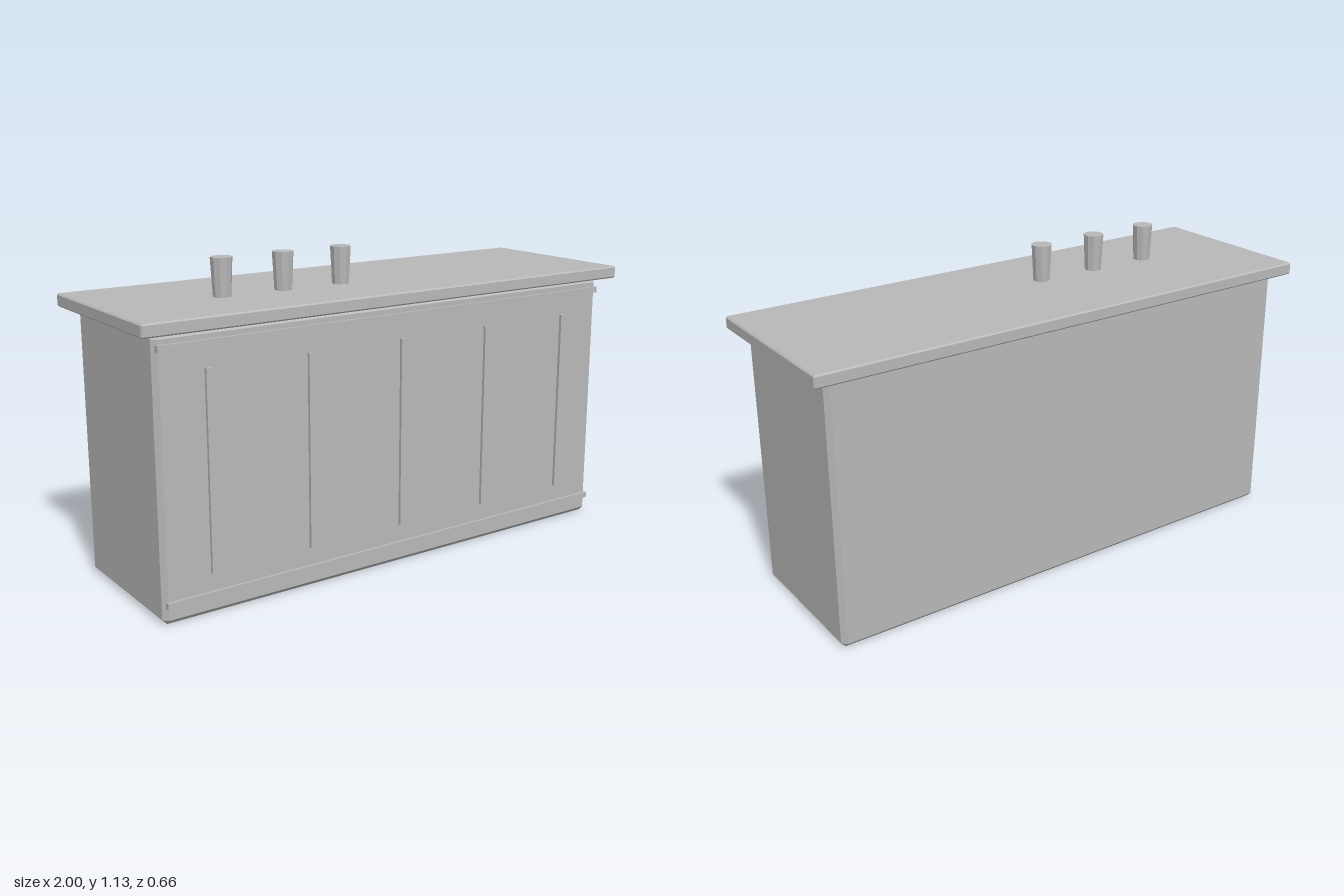
import * as THREE from 'three';
import { ConvexGeometry } from 'three/addons/geometries/ConvexGeometry.js';

// Box with one flat chamfer of size c on every edge
function chamferBox(w, h, d, c) {
  const points = [];
  for (const sx of [-1, 1]) for (const sy of [-1, 1]) for (const sz of [-1, 1]) {
    const x = sx * w / 2, y = sy * h / 2, z = sz * d / 2;
    points.push(
      new THREE.Vector3(x, y - sy * c, z - sz * c),
      new THREE.Vector3(x - sx * c, y, z - sz * c),
      new THREE.Vector3(x - sx * c, y - sy * c, z));
  }
  return new ConvexGeometry(points);
}

export function createModel() {
  const group = new THREE.Group();
  const grey = new THREE.MeshStandardMaterial({ color: 0xb8b8b8, flatShading: true });
  grey.name = 'plain grey';

  const add = (name, geometry, x, y, z) => {
    const mesh = new THREE.Mesh(geometry, grey);
    mesh.name = name;
    mesh.position.set(x, y, z);
    group.add(mesh);
  };

  // Counter body and overhanging top
  add('body', chamferBox(1.89, 0.955, 0.57, 0.017), 0, 0.4775, 0);
  add('counterTop', chamferBox(2, 0.045, 0.66, 0.005), 0, 0.9775, 0);

  // Horizontal trim along the front
  for (const y of [0.07, 0.91]) {
    add('frontRail', new THREE.BoxGeometry(1.87, 0.022, 0.02), 0, y, 0.286);
  }

  // Vertical panel strips on the front
  for (let i = -2; i <= 2; i++) {
    add('panelStrip', new THREE.BoxGeometry(0.02, 0.685, 0.02), i * 0.381, 0.4875, 0.286);
  }

  // Flared tumblers on the top
  for (const x of [-0.573, -0.335, -0.097]) {
    add('tumbler', new THREE.CylinderGeometry(0.038, 0.031, 0.134, 10), x, 1.066, 0.047);
  }

  return group;
}
